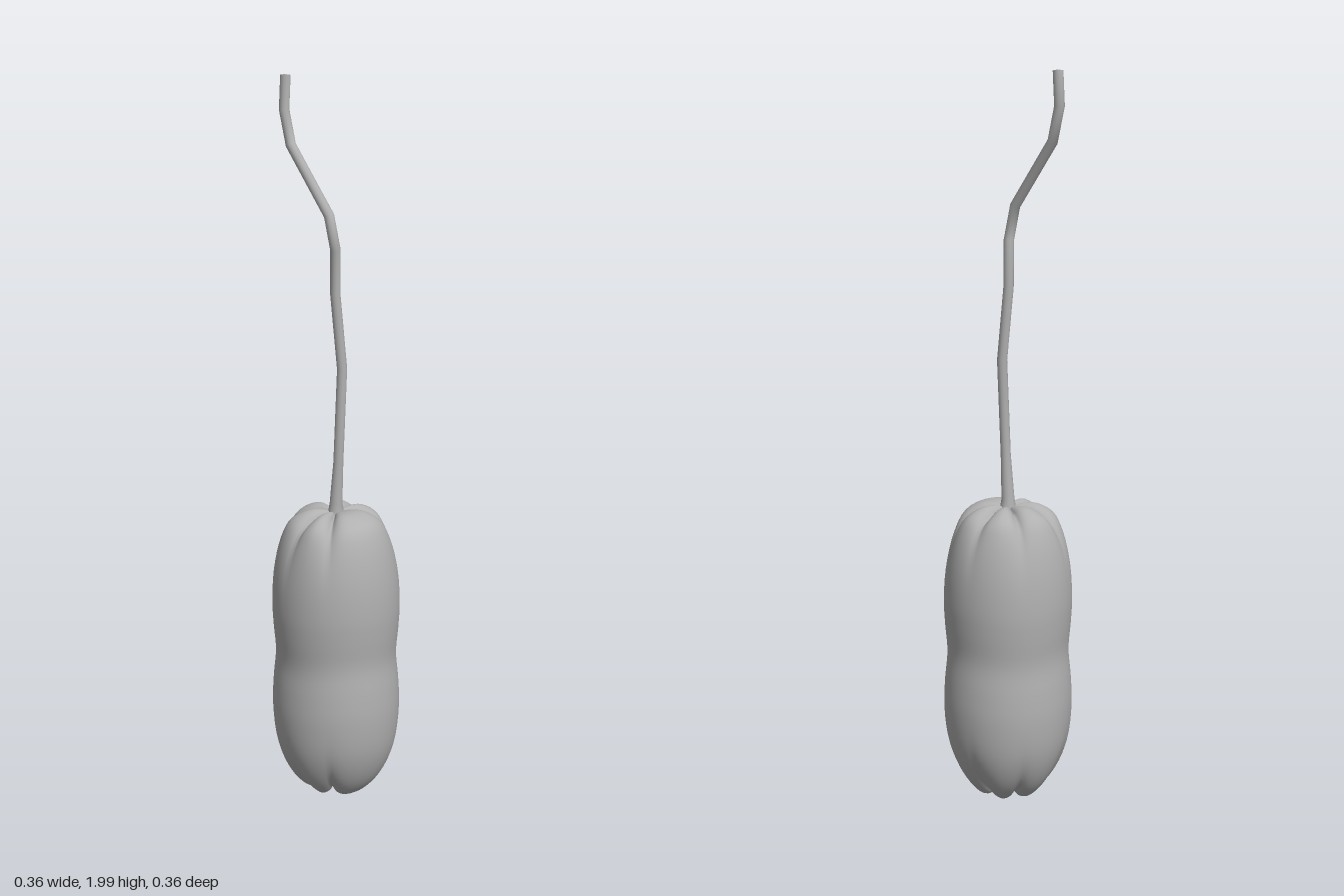
import * as THREE from 'three';

const grey = new THREE.MeshStandardMaterial({ color: 0xb0b0b0 });
grey.name = 'warm grey';

// Skin over a loop of rings; each ring is a function of the turn 0..1
function skin(rings, sides, point) {
  const pos = [], index = [];
  for (let i = 0; i < rings; i++)
    for (let j = 0; j < sides; j++) pos.push(...point(i, j / sides).toArray());
  for (let i = 0; i < rings - 1; i++)
    for (let j = 0; j < sides; j++) {
      const k = (j + 1) % sides, a = i * sides + j, b = i * sides + k;
      index.push(a, a + sides, b, b, a + sides, b + sides);
    }
  const g = new THREE.BufferGeometry();
  g.setAttribute('position', new THREE.Float32BufferAttribute(pos, 3));
  g.setIndex(index);
  g.computeVertexNormals();
  return g;
}

// Ribbed fruit: smooth profile, pinched by grooves that deepen toward both ends
function makeBody() {
  const profile = new THREE.CatmullRomCurve3([
    [0.002, 0.03], [0.035, 0.02], [0.075, 0.015], [0.11, 0.043], [0.143, 0.095],
    [0.168, 0.17], [0.178, 0.27], [0.175, 0.35], [0.168, 0.43], [0.174, 0.51],
    [0.177, 0.58], [0.170, 0.68], [0.150, 0.77], [0.125, 0.82], [0.08, 0.846],
    [0.04, 0.847], [0.002, 0.835],
  ].map(([r, y]) => new THREE.Vector3(r, y, 0)));
  const grooves = [52, 97, 150, 207, 258, 306].map(THREE.MathUtils.degToRad);
  const rings = 60, pts = profile.getPoints(rings - 1);
  const geometry = skin(rings, 96, (i, t) => {
    const { x: r, y } = pts[i], a = t * Math.PI * 2;
    let pinch = 0;
    for (const g of grooves) {
      const d = Math.atan2(Math.sin(a - g), Math.cos(a - g));
      pinch = Math.max(pinch, Math.exp(-Math.abs(d) / 0.16));
    }
    const end = Math.min(1, Math.abs(y - 0.43) / 0.41) ** 5;
    const rr = r * (1 - 0.16 * end * pinch);
    const lift = (y < 0.43 ? 1 : -1) * 0.025 * end * pinch * Math.min(1, r / 0.05);
    const wave = 0.006 * Math.sin(3 * a) * (1 - end);
    return new THREE.Vector3(rr * Math.cos(a), y + lift + wave, rr * Math.sin(a));
  });
  const mesh = new THREE.Mesh(geometry, grey);
  mesh.name = 'fruitBody';
  return mesh;
}

// Kinked stalk: rings along a bent path, closed at the tip
function makeStem() {
  const path = [
    [0, 0.825, 0, 0.024], [0, 0.86, 0, 0.018], [0.009, 0.98, 0, 0.014],
    [0.018, 1.24, -0.005, 0.014], [-0.007, 1.44, -0.004, 0.014],
    [0.010, 1.56, 0.012, 0.014], [0.003, 1.65, 0.028, 0.014],
    [-0.138, 1.82, 0.03, 0.014], [-0.165, 1.91, 0.028, 0.014],
    [-0.160, 1.998, 0.027, 0.014], [-0.160, 2.0, 0.027, 0.0005],
  ];
  const at = i => new THREE.Vector3(...path[Math.max(0, Math.min(path.length - 1, i))]);
  const geometry = skin(path.length, 12, (i, t) => {
    const c = at(i);
    const dirIn = c.clone().sub(at(i - 1)).normalize();
    const dirOut = at(i + 1).sub(c).normalize();
    const dir = dirIn.add(dirOut).normalize();
    const turn = new THREE.Quaternion().setFromUnitVectors(new THREE.Vector3(0, 1, 0), dir);
    const a = t * Math.PI * 2, r = path[i][3];
    return new THREE.Vector3(r * Math.cos(a), 0, r * Math.sin(a)).applyQuaternion(turn).add(c);
  });
  const mesh = new THREE.Mesh(geometry, grey);
  mesh.name = 'stem';
  return mesh;
}

export function createModel() {
  const group = new THREE.Group();
  group.name = 'hangingFruit';
  group.add(makeBody(), makeStem());
  return group;
}
